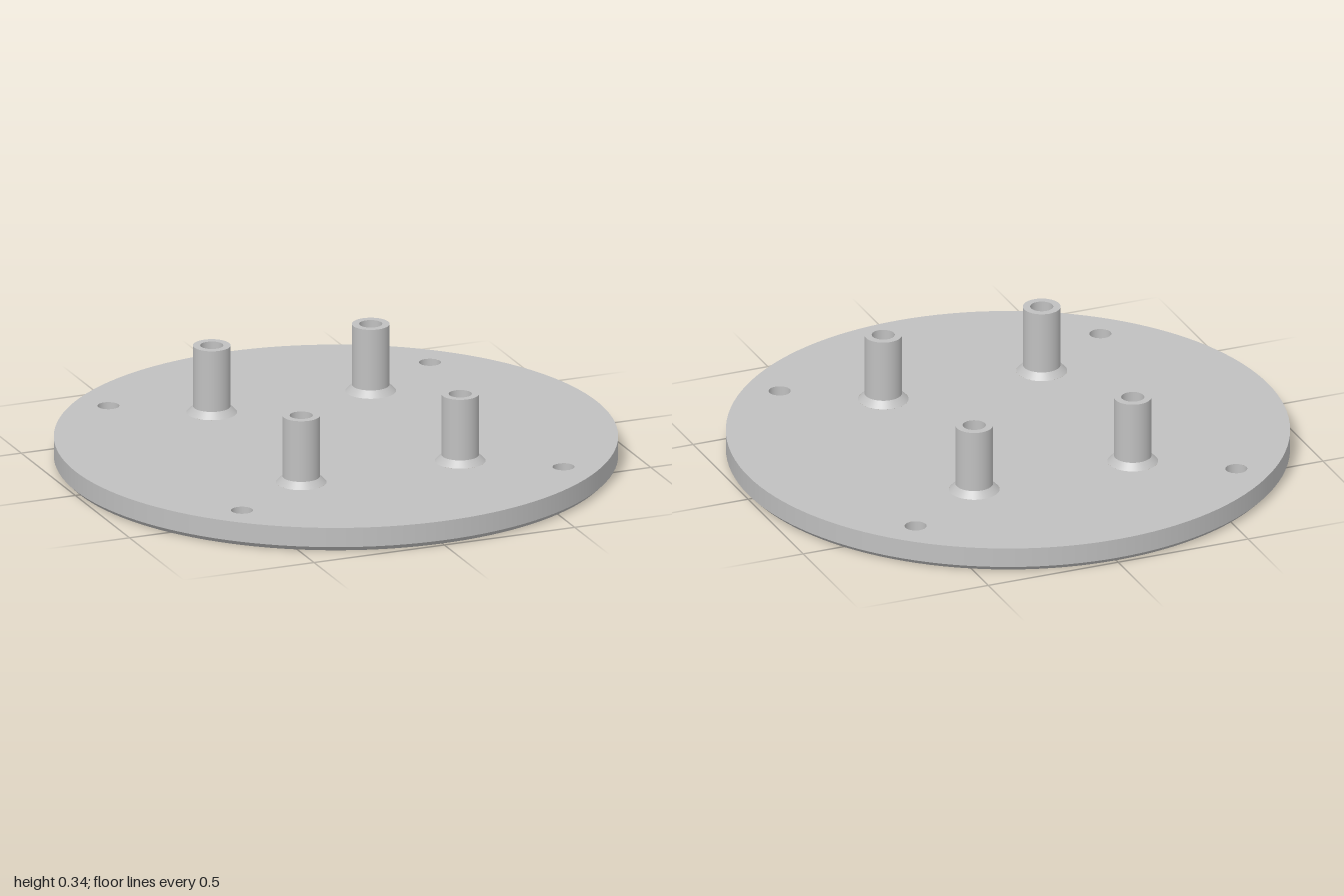
import * as THREE from 'three';

const SEG = 128;        // plate roundness
const SMALL = 40;       // roundness of holes and posts
const TOP = 0.09;       // plate thickness
const HOLE = 0.617;     // screw hole offset in x and z
const POST = { x: 0.305, z: 0.413, base: 0.09, radius: 0.067, bore: 0.041, height: 0.34 };

export function createModel() {
  const model = new THREE.Group();
  const grey = new THREE.MeshStandardMaterial({ color: 0xc0c0c0 });
  grey.name = 'plain grey';

  const add = (parent, name, geometry) => {
    const mesh = new THREE.Mesh(geometry, grey);
    mesh.name = name;
    parent.add(mesh);
    return mesh;
  };

  // Each profile step becomes its own lathe band, so the edges between bands stay sharp.
  const turned = (parent, names, profile, segments) => names.forEach((name, i) => {
    const pair = [profile[i], profile[i + 1]].map(([r, y]) => new THREE.Vector2(r, y));
    add(parent, name, new THREE.LatheGeometry(pair, segments));
  });

  const corners = (x, z) => [[x, z], [-x, z], [x, -z], [-x, -z]];

  // Flat disc with round openings, given as [x, z, radius].
  const disc = (radius, openings, up, y) => {
    const shape = new THREE.Shape().absarc(0, 0, radius, 0, Math.PI * 2, false);
    for (const [x, z, r] of openings) {
      shape.holes.push(new THREE.Path().absarc(x, z, r, 0, Math.PI * 2, true));
    }
    const geometry = new THREE.ShapeGeometry(shape, SEG / 2);
    geometry.rotateX(up ? -Math.PI / 2 : Math.PI / 2);
    return geometry.translate(0, y, 0);
  };

  // Round plate with a chamfered lower rim
  const plate = new THREE.Group();
  plate.name = 'plate';
  model.add(plate);
  const screwHoles = corners(HOLE, HOLE);
  const posts = corners(POST.x, POST.z);
  add(plate, 'plateTop', disc(1, [
    ...screwHoles.map(([x, z]) => [x, z, 0.039]),
    ...posts.map(([x, z]) => [x, z, POST.base]),
  ], true, TOP));
  add(plate, 'plateBottom', disc(0.982, screwHoles.map(([x, z]) => [x, z, 0.07]), false, 0));
  turned(plate, ['rimChamfer', 'rim'], [[0.982, 0], [1, 0.018], [1, TOP]], SEG);

  // Through holes, countersunk from below
  for (const [x, z] of screwHoles) {
    const hole = new THREE.Group();
    hole.name = 'screwHole';
    hole.position.set(x, 0, z);
    turned(hole, ['holeWall', 'countersink'], [[0.039, TOP], [0.039, 0.031], [0.07, 0]], SMALL);
    model.add(hole);
  }

  // Hollow posts with a flared foot and a blind bore
  for (const [x, z] of posts) {
    const post = new THREE.Group();
    post.name = 'post';
    post.position.set(x, 0, z);
    turned(post, ['foot', 'postWall', 'postRim', 'boreWall', 'boreFloor'], [
      [POST.base, TOP], [POST.radius, TOP + 0.023], [POST.radius, POST.height],
      [POST.bore, POST.height], [POST.bore, TOP], [0, TOP],
    ], SMALL);
    model.add(post);
  }

  return model;
}
